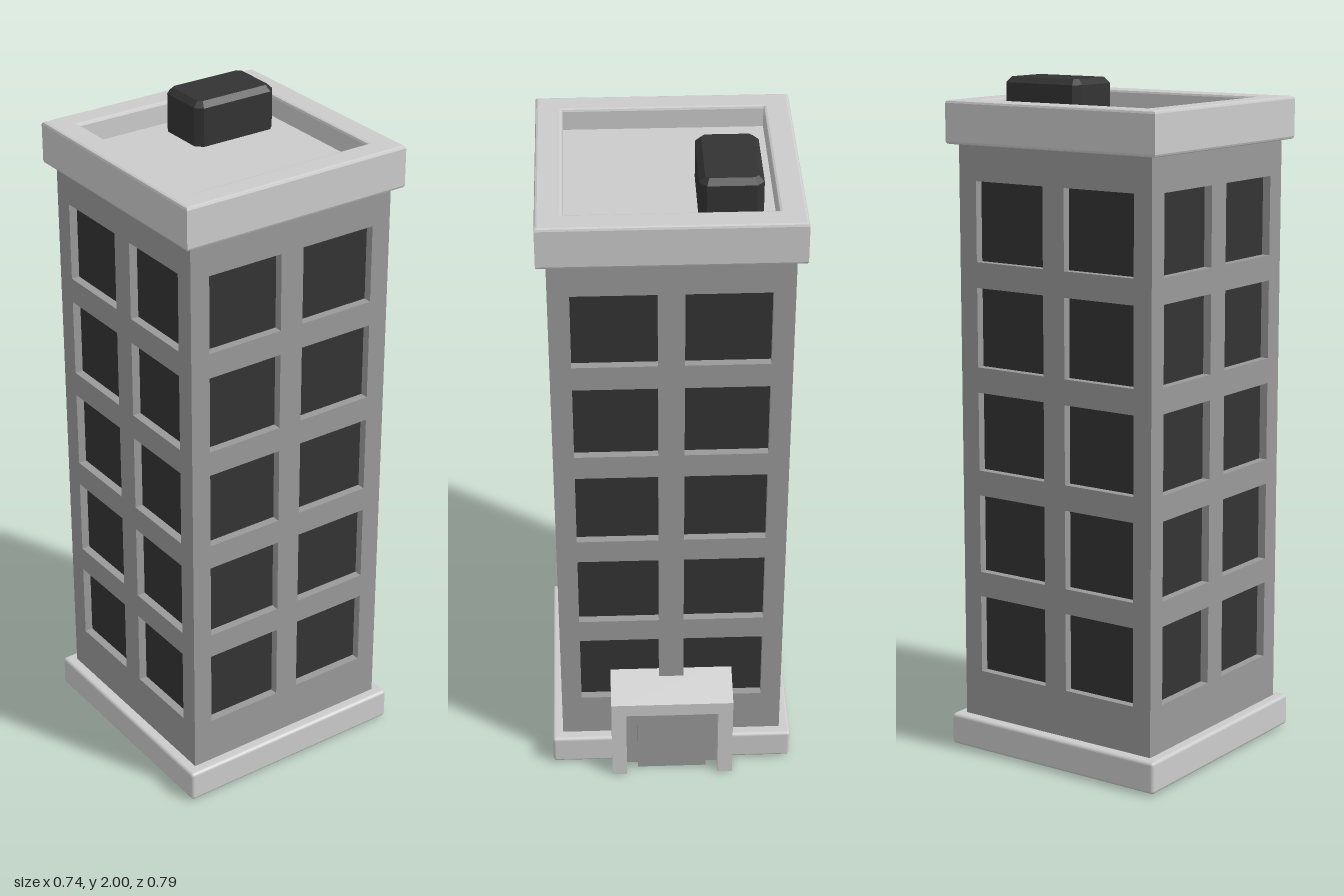
import * as THREE from 'three';
import { RoundedBoxGeometry } from 'three/addons/geometries/RoundedBoxGeometry.js';

const trimMat = new THREE.MeshStandardMaterial({ color: 0xcccccc });
const wallMat = new THREE.MeshStandardMaterial({ color: 0x999999 });
const darkMat = new THREE.MeshStandardMaterial({ color: 0x333333 });

const CZ = 0.03;      // centre of the tower in z
const HALF = 0.335;   // half width of the tower
const REVEAL = 0.025; // depth of the window openings

function add(parent, name, geometry, material, x = 0, y = 0, z = 0) {
  const mesh = new THREE.Mesh(geometry, material);
  mesh.name = name;
  mesh.position.set(x, y, z);
  parent.add(mesh);
  return mesh;
}

function rect(Type, x0, y0, x1, y1) {
  const p = new Type();
  p.moveTo(x0, y0);
  p.lineTo(x1, y0);
  p.lineTo(x1, y1);
  p.lineTo(x0, y1);
  p.closePath();
  return p;
}

// Extrudes a plan shape upwards, with bevelled edges kept inside the outline
function extrudeUp(shape, height, bevel, segments) {
  const g = new THREE.ExtrudeGeometry(shape, {
    depth: height - 2 * bevel, bevelEnabled: true, bevelSize: bevel,
    bevelThickness: bevel, bevelOffset: -bevel, bevelSegments: segments,
  });
  return g.translate(0, 0, bevel).rotateX(-Math.PI / 2);
}

// Wall panel with a 2 x 5 grid of window openings
function wallGeometry(halfWidth) {
  const s = rect(THREE.Shape, -halfWidth, 0.08, halfWidth, 1.84);
  for (let row = 0; row < 5; row++) {
    const y = 0.242 + row * 0.308;
    for (const x of [-0.275, 0.037]) {
      s.holes.push(rect(THREE.Path, x, y, x + 0.238, y + 0.233));
    }
  }
  return new THREE.ExtrudeGeometry(s, { depth: REVEAL, bevelEnabled: false });
}

function buildTower() {
  const tower = new THREE.Group();
  tower.name = 'tower';
  tower.position.z = CZ;

  // Plinth
  add(tower, 'plinth', new RoundedBoxGeometry(0.735, 0.095, 0.735, 2, 0.01), trimMat, 0, 0.0525, 0);

  // Dark core that shows through the openings as glass
  const core = 2 * (HALF - REVEAL);
  add(tower, 'windowGlass', new THREE.BoxGeometry(core, 1.72, core), darkMat, 0, 0.95, 0);

  // Four walls, the side ones fitted between front and back
  const names = ['frontWall', 'leftWall', 'backWall', 'rightWall'];
  names.forEach((name, i) => {
    const pivot = new THREE.Group();
    pivot.rotation.y = i * Math.PI / 2;
    tower.add(pivot);
    add(pivot, name, wallGeometry(i % 2 ? HALF - REVEAL : HALF), wallMat, 0, 0, HALF - REVEAL);
  });

  // Parapet ring and sunken roof deck
  const ring = rect(THREE.Shape, -0.362, -0.362, 0.362, 0.362);
  ring.holes.push(rect(THREE.Path, -0.286, -0.286, 0.286, 0.286));
  add(tower, 'parapet', extrudeUp(ring, 0.125, 0.008, 2), trimMat, 0, 1.81, 0);
  add(tower, 'roofDeck', new THREE.BoxGeometry(0.6, 0.05, 0.6), trimMat, 0, 1.845, 0);
  return tower;
}

// Chamfered rooftop unit
function buildRoofUnit(parent) {
  const w = 0.087, d = 0.134, c = 0.02;
  const outline = [[-w + c, -d], [w - c, -d], [w, -d + c], [w, d - c],
    [w - c, d], [-w + c, d], [-w, d - c], [-w, -d + c]];
  const shape = new THREE.Shape(outline.map(([x, y]) => new THREE.Vector2(x, y)));
  add(parent, 'roofUnit', extrudeUp(shape, 0.16, 0.016, 1), darkMat, -0.164, 1.84, -0.078);
}

// Entrance porch on the back, with a sloping top
function buildPorch() {
  const porch = new THREE.Group();
  porch.name = 'porch';

  // Extrudes a side profile of [z, y] points across the width
  const slab = (name, points, x0, x1) => {
    const s = new THREE.Shape(points.map(([z, y]) => new THREE.Vector2(-z, y)));
    const g = new THREE.ExtrudeGeometry(s, { depth: x1 - x0, bevelEnabled: false });
    g.rotateY(Math.PI / 2);
    add(porch, name, g, trimMat, x0, 0, 0);
  };
  const front = -0.395, rear = -0.27;
  const side = [[rear, 0], [front, 0], [front, 0.288], [rear, 0.337]];
  const lintel = [[rear, 0.245], [front, 0.245], [front, 0.288], [rear, 0.337]];
  slab('leftPost', side, 0.14, 0.185);
  slab('rightPost', side, -0.185, -0.14);
  slab('lintel', lintel, -0.14, 0.14);

  // Door in its recess
  add(porch, 'doorSurround', new THREE.BoxGeometry(0.28, 0.245, 0.075), wallMat, 0, 0.1225, -0.3075);
  add(porch, 'door', new THREE.BoxGeometry(0.21, 0.215, 0.03), wallMat, 0, 0.1125, -0.355);
  return porch;
}

export function createModel() {
  const model = new THREE.Group();
  model.name = 'building';
  model.add(buildTower(), buildPorch());
  buildRoofUnit(model);
  return model;
}
